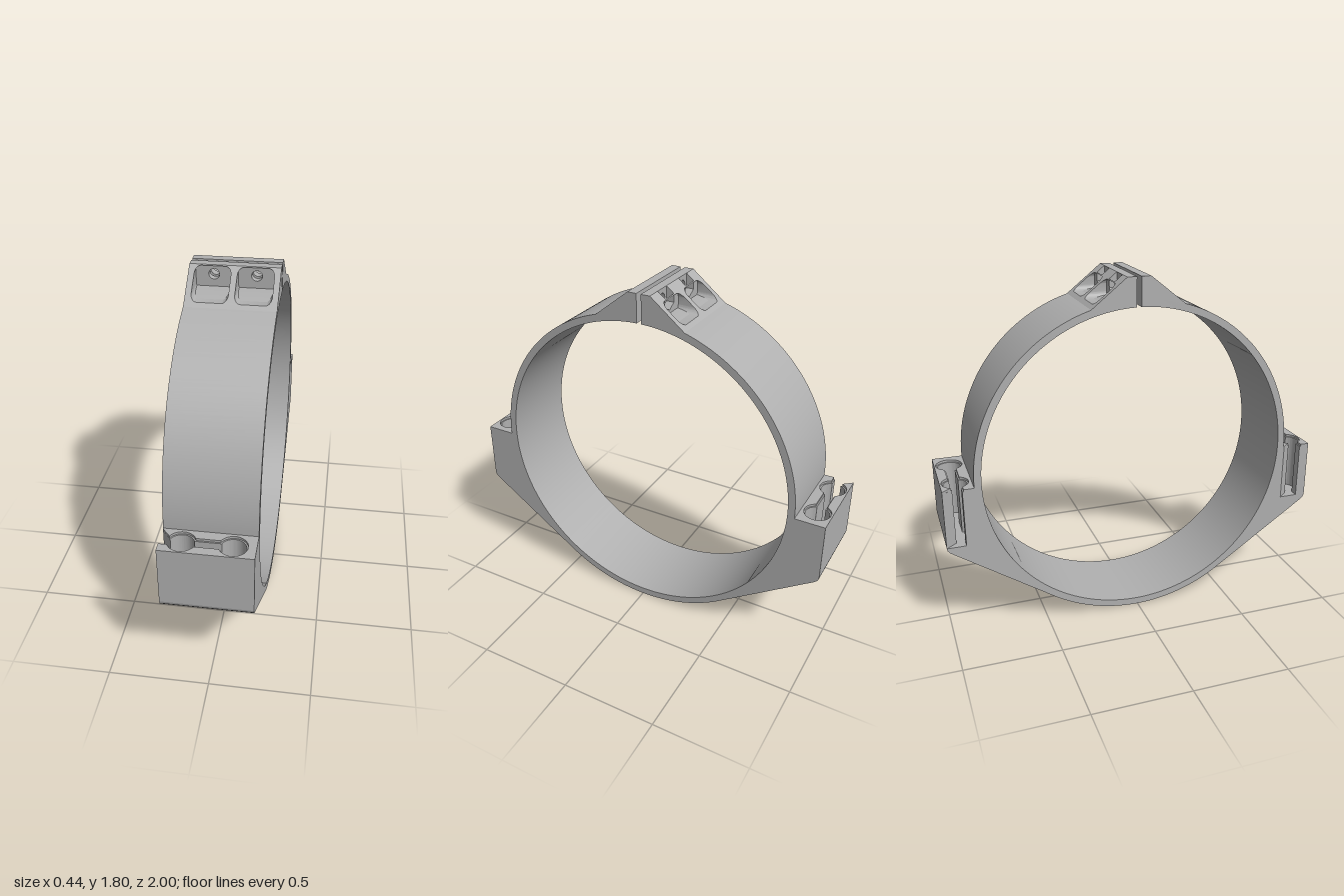
import * as THREE from 'three';
import { toCreasedNormals } from 'three/addons/utils/BufferGeometryUtils.js';

const W = 0.22;            // half width of the band
const CY = 0.845;          // ring centre height
const RO = 0.845, RI = 0.808;
const GAP = 0.012;         // half of the split at the top
const BLOCK_TOP = 0.825, BLOCK_FLOOR = 0.52;
const EAR_LOW = 1.655, EAR_TOP = 1.8;
const BOLT_X = 0.103, BOLT_Y = 1.75;

const grey = new THREE.MeshStandardMaterial({ color: 0xb0b0b0 });
grey.name = 'grey';

function part(name, geometry, parent) {
  const mesh = new THREE.Mesh(toCreasedNormals(geometry, 0.5), grey);
  mesh.name = name;
  parent.add(mesh);
}

const extrude = (shape, depth) =>
  new THREE.ExtrudeGeometry(shape, { depth, bevelEnabled: false, curveSegments: 24 });

function polygon(points) {
  return new THREE.Shape(points.map(([x, y]) => new THREE.Vector2(x, y)));
}

const rect = (x0, y0, x1, y1) => polygon([[x0, y0], [x1, y0], [x1, y1], [x0, y1]]);

function roundedRect(x0, y0, x1, y1, r) {
  const p = new THREE.Path();
  p.absarc(x1 - r, y1 - r, r, 0, Math.PI / 2);
  p.absarc(x0 + r, y1 - r, r, Math.PI / 2, Math.PI);
  p.absarc(x0 + r, y0 + r, r, Math.PI, Math.PI * 1.5);
  p.absarc(x1 - r, y0 + r, r, Math.PI * 1.5, Math.PI * 2);
  p.closePath();
  return p;
}

// Side outline of the band: angles measured from the top of the ring
function bandGeometry() {
  const arc = (r, a0, a1, n) => Array.from({ length: n + 1 }, (_, i) => {
    const a = a0 + (a1 - a0) * i / n;
    return [r * Math.sin(a), CY + r * Math.cos(a)];
  });
  const shoulder = Math.acos((BLOCK_TOP - CY) / RO);
  const tangent = Math.PI - Math.asin(0.46 / RO);
  const half = [
    ...arc(RO, Math.asin(GAP / RO), shoulder, 48),
    [0.85, BLOCK_TOP], [0.85, BLOCK_FLOOR], [1, BLOCK_FLOOR],
    [0.997, 0.507], [0.989, 0.496], [0.975, 0.485],
    ...arc(RO, tangent, Math.PI, 20),
  ];
  const mirrored = half.slice(0, -1).reverse().map(([z, y]) => [-z, y]);
  const split = Math.asin(GAP / RI);
  const inner = arc(RI, 2 * Math.PI - split, split, 160);
  const geo = extrude(polygon([...half, ...mirrored, ...inner]), 2 * W);
  return geo.rotateY(-Math.PI / 2).translate(W, 0, 0);
}

// Plan of a block: two round sockets joined by a slot that opens at -x
function socketShape(centre, r, h) {
  const a = Math.asin(h / r), w = 0.075, x1 = -0.12, x2 = 0.115;
  const s = new THREE.Shape();
  s.moveTo(-W, centre + h);
  s.absarc(x1, centre, r, Math.PI - a, a, true);
  s.absarc(x2, centre, r, Math.PI - a, -Math.PI + a, true);
  s.absarc(x1, centre, r, -a, -Math.PI + a, true);
  s.lineTo(-W, centre - h);
  s.lineTo(-W, centre - w);
  s.lineTo(W, centre - w);
  s.lineTo(W, centre + w);
  s.lineTo(-W, centre + w);
  s.closePath();
  return s;
}

// Sloping outer face of an ear
const slope = y => 0.06 + (EAR_TOP - y) * 1.25;

// Extrude a front-facing shape from z = near to z = far(y)
function wedge(shape, near, far) {
  const geo = extrude(shape, 1);
  const p = geo.attributes.position;
  for (let i = 0; i < p.count; i++) p.setZ(i, p.getZ(i) > 0.5 ? far(p.getY(i)) : near);
  geo.computeVertexNormals();
  return geo;
}

// Upright plate with the two bolt holes
function flange(depth) {
  const s = rect(-W, EAR_LOW, W, EAR_TOP);
  for (const x of [-BOLT_X, BOLT_X]) {
    s.holes.push(new THREE.Path().absarc(x, BOLT_Y, 0.026, 0, Math.PI * 2));
  }
  return extrude(s, depth - GAP).translate(0, 0, GAP);
}

// Ear ribs around two rounded pockets
function pockets(top, near) {
  const s = rect(-W, EAR_LOW, W, top);
  for (const x of [-BOLT_X, BOLT_X]) {
    s.holes.push(roundedRect(x - 0.088, 1.672, x + 0.088, top - 0.004, 0.03));
  }
  return wedge(s, near, slope);
}

export function createModel() {
  const model = new THREE.Group();
  model.name = 'ringClamp';

  part('band', bandGeometry(), model);

  // Side blocks, with a slightly wider rim at the socket mouths
  for (const side of [1, -1]) {
    const block = new THREE.Group();
    block.name = side > 0 ? 'frontBlock' : 'backBlock';
    const rimY = BLOCK_TOP - 0.012;
    for (const [name, r, h, y0, y1] of [
      ['sockets', 0.06, 0.022, BLOCK_FLOOR, rimY],
      ['socketRim', 0.067, 0.029, rimY, BLOCK_TOP],
    ]) {
      const geo = extrude(socketShape(-side * 0.925, r, h), y1 - y0);
      part(name, geo.rotateX(-Math.PI / 2).translate(0, y0, 0), block);
    }
    model.add(block);
  }

  // Front ear for the bolt heads
  const frontEar = new THREE.Group();
  frontEar.name = 'frontEar';
  part('flange', flange(0.05), frontEar);
  part('ribs', pockets(EAR_TOP, 0.05), frontEar);
  model.add(frontEar);

  // Back ear with nut seats
  const backEar = new THREE.Group();
  backEar.name = 'backEar';
  const seatZ = 0.1, seatTop = EAR_TOP - 0.032, n = 0.043;
  part('flange', flange(0.06), backEar);
  const outline = [[-W, EAR_LOW], [W, EAR_LOW], [W, seatTop]];
  for (const x of [BOLT_X, -BOLT_X]) {
    outline.push([x + n, seatTop], [x + n, 1.725], [x, 1.7], [x - n, 1.725], [x - n, seatTop]);
  }
  outline.push([-W, seatTop]);
  part('nutSeats', wedge(polygon(outline), 0.06, () => seatZ), backEar);
  for (const [x0, x1] of [[-W, -BOLT_X - n], [-BOLT_X + n, BOLT_X - n], [BOLT_X + n, W]]) {
    part('seatTop', wedge(rect(x0, seatTop, x1, EAR_TOP), 0.06, slope), backEar);
  }
  part('ribs', pockets(seatTop, seatZ), backEar);
  backEar.rotation.y = Math.PI;
  model.add(backEar);

  return model;
}
